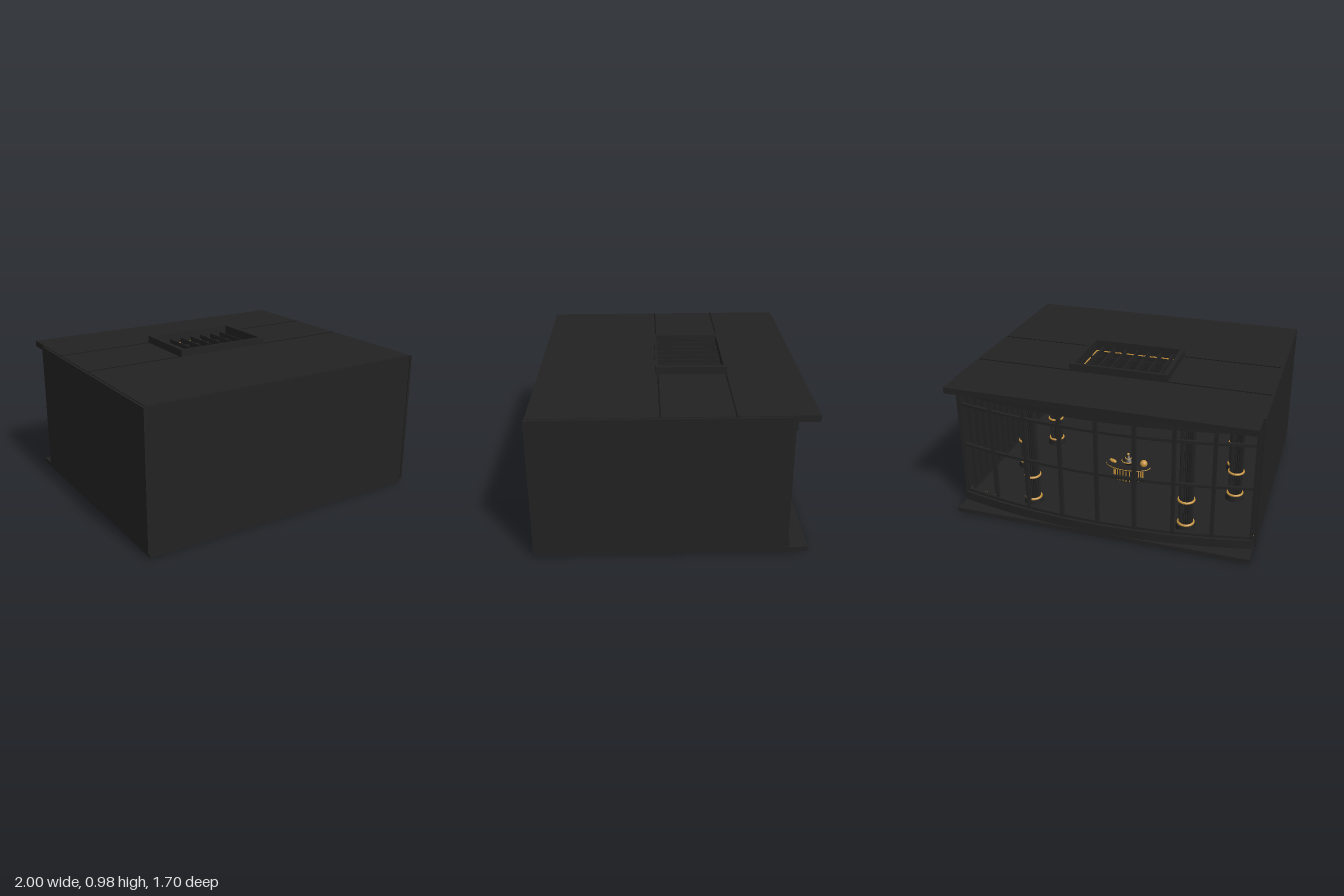
import * as THREE from 'three';

const mat = (name, color, side = THREE.FrontSide) => {
  const m = new THREE.MeshStandardMaterial({ color, side });
  m.name = name;
  return m;
};

export function createModel() {
  const root = new THREE.Group();
  const black = mat('charcoal', 0x222222);
  const deep = mat('deep black', 0x161616);
  const gold = mat('gold', 0xc4923e);

  const add = (name, geo, material, x = 0, y = 0, z = 0, parent = root) => {
    const m = new THREE.Mesh(geo, material);
    m.name = name;
    m.position.set(x, y, z);
    parent.add(m);
    return m;
  };
  // Box given by its limits on each axis
  const box = (name, material, x0, x1, y0, y1, z0, z1, parent = root) =>
    add(name, new THREE.BoxGeometry(x1 - x0, y1 - y0, z1 - z0), material,
      (x0 + x1) / 2, (y0 + y1) / 2, (z0 + z1) / 2, parent);
  // Plan outline in (x, -z), raised from y0 by h
  const slab = (name, material, shape, y0, h) => {
    const g = new THREE.ExtrudeGeometry(shape, { depth: h, bevelEnabled: false, curveSegments: 24 });
    g.rotateX(-Math.PI / 2);
    return add(name, g, material, 0, y0, 0);
  };
  const rect = (x0, x1, z0, z1) => new THREE.Shape([
    new THREE.Vector2(x0, -z1), new THREE.Vector2(x1, -z1),
    new THREE.Vector2(x1, -z0), new THREE.Vector2(x0, -z0)]);
  const withHole = (s, hole) => { s.holes.push(hole); return s; };

  // Shell: floor, front wall, side walls
  box('floor', black, -0.985, 0.985, 0, 0.03, -0.84, 0.84);
  box('frontWall', black, -0.985, 0.985, 0.03, 0.92, 0.825, 0.845);
  for (const s of [-1, 1]) {
    const a = s * 0.983, b = s * 1;
    box('sideWall', black, Math.min(a, b), Math.max(a, b), 0.03, 0.92, -0.69, 0.85);
    // Vertical slats on the inner face
    for (let z = -0.6; z < 0.75; z += 0.09)
      box('wallSlat', black, s * 0.972 - 0.011, s * 0.972 + 0.011, 0.08, 0.82, z, z + 0.035);
  }

  // Roof with skylight opening, seams and raised kerb
  const opening = () => rect(-0.3, 0.3, -0.355, 0.07);
  slab('roof', black, withHole(rect(-0.985, 0.985, -0.855, 0.84), opening()), 0.885, 0.04);
  slab('skylightKerb', black, withHole(rect(-0.33, 0.33, -0.378, 0.086), opening()), 0.925, 0.05);
  for (const z of [-0.37, 0.07]) for (const s of [-1, 1])
    box('roofSeam', deep, s * 0.657 - 0.327, s * 0.657 + 0.327, 0.924, 0.927, z - 0.004, z + 0.004);
  slab('skylightTrim', gold,
    withHole(rect(-0.3, 0.3, -0.355, 0.07), rect(-0.294, 0.294, -0.349, 0.064)), 0.895, 0.006);
  for (let i = -3; i <= 3; i++)
    box('skylightBar', black, i * 0.083 - 0.004, i * 0.083 + 0.004, 0.885, 0.935, -0.355, 0.07);
  for (const z of [-0.235, -0.06])
    box('skylightCrossbar', black, -0.3, 0.3, 0.89, 0.91, z - 0.004, z + 0.004);

  // Ceiling beams, interrupted around the skylight
  for (let i = -4; i <= 4; i++) {
    const x = i * 0.22;
    const spans = Math.abs(x) < 0.32 ? [[-0.68, -0.38], [0.09, 0.825]] : [[-0.68, 0.825]];
    for (const [a, b] of spans) box('ceilingBeam', black, x - 0.018, x + 0.018, 0.835, 0.885, a, b);
  }
  for (const z of [-0.6, -0.39, -0.14, 0.1, 0.34, 0.58]) {
    const spans = z === -0.14 ? [[-0.975, -0.32], [0.32, 0.975]] : [[-0.975, 0.975]];
    for (const [a, b] of spans) box('ceilingCrossBeam', black, a, b, 0.845, 0.885, z - 0.018, z + 0.018);
  }

  // Bowed window wall at the back
  const bow = x => -0.7 - 0.115 * (1 - (x / 0.98) ** 2);
  const band = (inner, outer) => {
    const pts = [];
    for (let i = 0; i <= 32; i++) { const x = -0.98 + i * 1.96 / 32; pts.push(new THREE.Vector2(x, -bow(x) - inner)); }
    for (let i = 32; i >= 0; i--) { const x = -0.98 + i * 1.96 / 32; pts.push(new THREE.Vector2(x, -bow(x) + outer)); }
    return new THREE.Shape(pts);
  };
  slab('windowSill', black, band(0.03, 0.025), 0.03, 0.06);
  slab('windowSillCap', black, band(0.018, 0.008), 0.09, 0.018);
  slab('sillTrim', gold, band(0.036, -0.03), 0.088, 0.006);
  slab('windowHeader', black, band(0.03, 0.025), 0.83, 0.055);
  for (const y of [0.445, 0.74]) slab('windowTransom', black, band(0.01, 0.01), y, 0.018);
  for (let i = -4; i <= 4; i++) {
    const x = i * 0.2425;
    box('windowMullion', black, x - 0.011, x + 0.011, 0.09, 0.83, bow(x) - 0.014, bow(x) + 0.014);
  }

  // Fluted columns with gold bases and capitals
  const flutes = new THREE.Shape();
  for (let i = 0; i < 48; i++) {
    const a = i * Math.PI / 24, r = i % 2 ? 0.041 : 0.048;
    flutes[i ? 'lineTo' : 'moveTo'](r * Math.cos(a), r * Math.sin(a));
  }
  const shaftGeo = new THREE.ExtrudeGeometry(flutes, { depth: 0.74, bevelEnabled: false });
  shaftGeo.rotateX(-Math.PI / 2);
  const footGeo = new THREE.CylinderGeometry(0.062, 0.066, 0.035, 32);
  const ringGeo = new THREE.TorusGeometry(0.05, 0.008, 8, 32).rotateX(Math.PI / 2);
  const capGeo = new THREE.CylinderGeometry(0.062, 0.05, 0.025, 32);
  for (const s of [-1, 1]) for (const [x, z] of [[0.53, -0.61], [0.77, -0.17], [0.7, 0.22]]) {
    const column = new THREE.Group();
    column.name = 'column';
    column.position.set(s * x, 0.03, z);
    add('columnShaft', shaftGeo, black, 0, 0.03, 0, column);
    add('columnFoot', footGeo, black, 0, 0.0175, 0, column);
    for (const y of [0.042, 0.21, 0.755]) add('columnRing', ringGeo, gold, 0, y, 0, column);
    add('columnCapital', capGeo, gold, 0, 0.79, 0, column);
    add('columnAbacus', new THREE.BoxGeometry(0.13, 0.06, 0.13), black, 0, 0.83, 0, column);
    root.add(column);
  }

  // Oval table with ribbed gold base
  const table = new THREE.Group();
  table.name = 'table';
  table.position.set(0, 0.03, -0.155);
  root.add(table);
  add('tableBase', new THREE.CylinderGeometry(0.11, 0.1, 0.11, 40), black, 0, 0.055, 0, table).scale.z = 0.5;
  for (let i = 0; i < 28; i++) {
    const a = i * Math.PI / 14;
    add('tableRib', new THREE.BoxGeometry(0.006, 0.09, 0.006), gold,
      0.108 * Math.cos(a), 0.055, 0.054 * Math.sin(a), table);
  }
  add('tableTop', new THREE.CylinderGeometry(0.16, 0.16, 0.014, 48), black, 0, 0.117, 0, table).scale.z = 0.5;
  const rim = add('tableRim', new THREE.TorusGeometry(0.159, 0.004, 8, 48).rotateX(Math.PI / 2), gold, 0, 0.117, 0, table);
  rim.scale.z = 0.5;

  // Ornaments on the table
  add('orb', new THREE.SphereGeometry(0.026, 20, 14), gold, -0.115, 0.15, -0.005, table);
  const bowl = [[0.02, 0], [0.028, 0.012], [0.045, 0.03], [0.043, 0.04], [0.02, 0.05], [0.012, 0.07], [0, 0.075]];
  add('urn', new THREE.LatheGeometry(bowl.map(p => new THREE.Vector2(...p)), 24), black, 0, 0.124, 0, table);
  for (const [r, y] of [[0.045, 0.156], [0.02, 0.174]])
    add('urnRing', new THREE.TorusGeometry(r, 0.004, 8, 24).rotateX(Math.PI / 2), gold, 0, y, 0, table);
  add('urnKnob', new THREE.SphereGeometry(0.01, 12, 8), gold, 0, 0.204, 0, table);
  const leaf = add('carvedLeaf', new THREE.SphereGeometry(0.034, 16, 10), gold, 0.113, 0.135, -0.003, table);
  leaf.scale.set(1, 0.35, 0.45);
  leaf.rotation.y = -0.5;

  return root;
}
